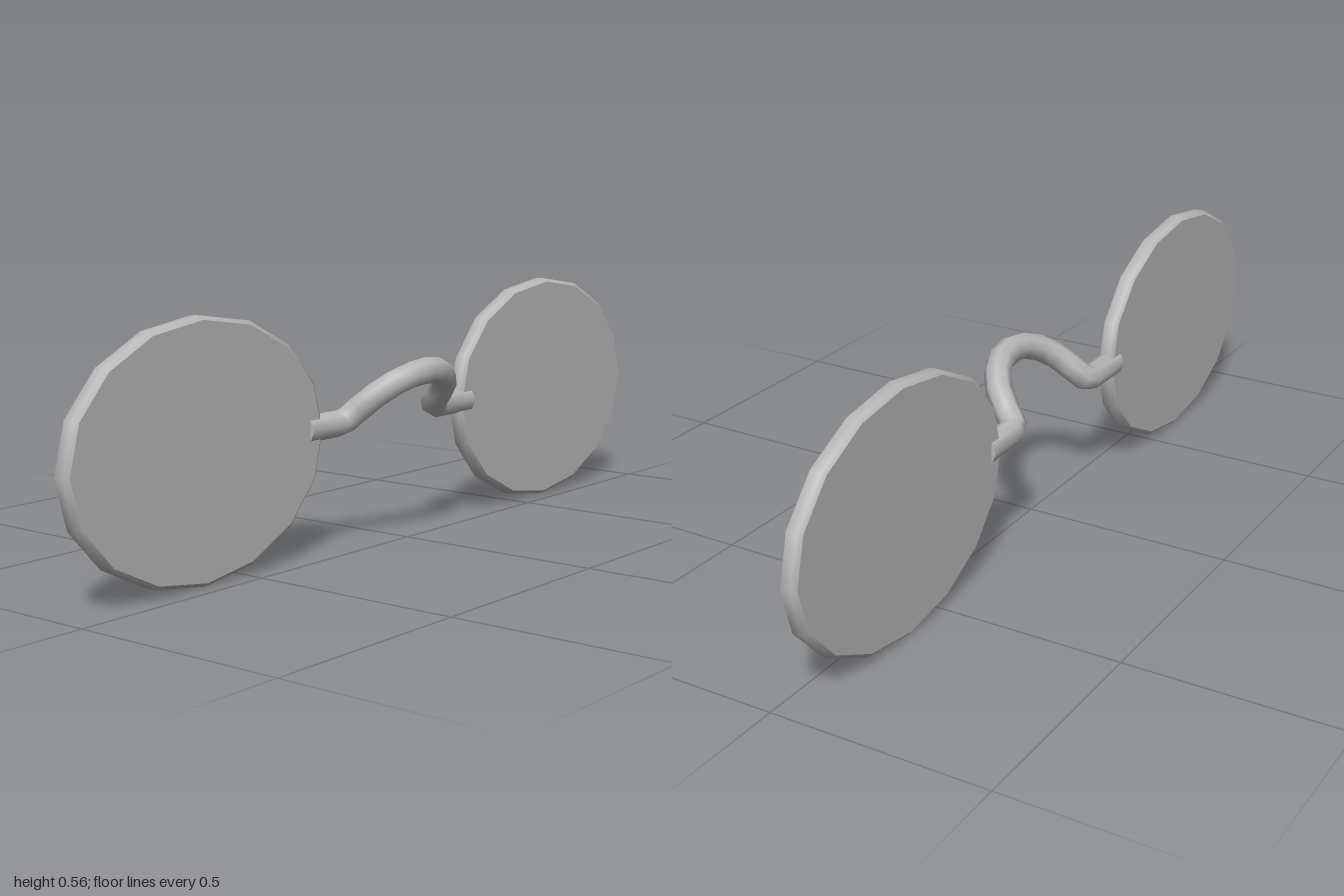
import * as THREE from 'three';

const metal = new THREE.MeshStandardMaterial({ color: 0xb8b8b8 });
metal.name = 'plain grey';

const LENS_Y = 0.2825, LENS_Z = -0.055, LENS_X = 0.625;
const RX = 0.375, RY = 0.2825;

// Smooth tube centreline that passes exactly through its points, with mitred tangents
class PointPath extends THREE.Curve {
  constructor(points) { super(); this.points = points; }
  getPointAt(t, target = new THREE.Vector3()) {
    const i = Math.round(t * (this.points.length - 1));
    return target.copy(this.points[i]);
  }
  getTangentAt(t, target = new THREE.Vector3()) {
    const p = this.points, last = p.length - 1, i = Math.round(t * last);
    target.set(0, 0, 0);
    if (i > 0) target.add(p[i].clone().sub(p[i - 1]).normalize());
    if (i < last) target.add(p[i + 1].clone().sub(p[i]).normalize());
    return target.normalize();
  }
}

function addMesh(parent, geometry, name) {
  const mesh = new THREE.Mesh(geometry, metal);
  mesh.name = name;
  parent.add(mesh);
  return mesh;
}

// Sixteen-sided oval disc with a softly bevelled rim
function makeLens(name, x) {
  const lens = new THREE.Group();
  lens.name = name;
  const bevel = 0.97;
  const profile = [[bevel, -0.02], [1, -0.012], [1, 0.012], [bevel, 0.02]]
    .map(([r, y]) => new THREE.Vector2(r, y));
  const rim = new THREE.LatheGeometry(profile, 16).rotateX(Math.PI / 2).scale(RX, RY, 1);
  addMesh(lens, rim, 'lensRim');
  const face = new THREE.CircleGeometry(bevel, 16).scale(RX, RY, 1);
  addMesh(lens, face, 'lensFront').position.z = 0.02;
  const back = addMesh(lens, face, 'lensBack');
  back.rotation.y = Math.PI;
  back.position.z = -0.02;
  lens.position.set(x, LENS_Y, LENS_Z);
  return lens;
}

// Nose bridge: straight arms joined by a half-ring leaning forward at 45 degrees
function makeBridge() {
  const bridge = new THREE.Group();
  bridge.name = 'noseBridge';
  const radius = 0.031, end = 0.3, s = Math.SQRT1_2;
  const flat = [[-end, 0], [-0.185, 0], [-0.162, 0.01]];
  for (let k = 1; k <= 9; k++) {
    const a = Math.PI * (1 - k / 10);
    flat.push([0.155 * Math.cos(a), 0.157 * Math.sin(a)]);
  }
  flat.push([0.162, 0.01], [0.185, 0], [end, 0]);
  const points = flat.map(([x, u]) => new THREE.Vector3(x, u * s, u * s));
  addMesh(bridge, new THREE.TubeGeometry(new PointPath(points), points.length - 1, radius, 8), 'bridgeWire');
  for (const side of [-1, 1]) {
    const cap = addMesh(bridge, new THREE.CircleGeometry(radius, 8), 'bridgeEnd');
    cap.rotation.y = side * Math.PI / 2;
    cap.position.x = side * end;
  }
  bridge.position.set(0, 0.286, LENS_Z);
  return bridge;
}

export function createModel() {
  const model = new THREE.Group();
  model.name = 'pinceNezGlasses';
  model.add(makeLens('leftLens', LENS_X), makeLens('rightLens', -LENS_X), makeBridge());
  return model;
}
